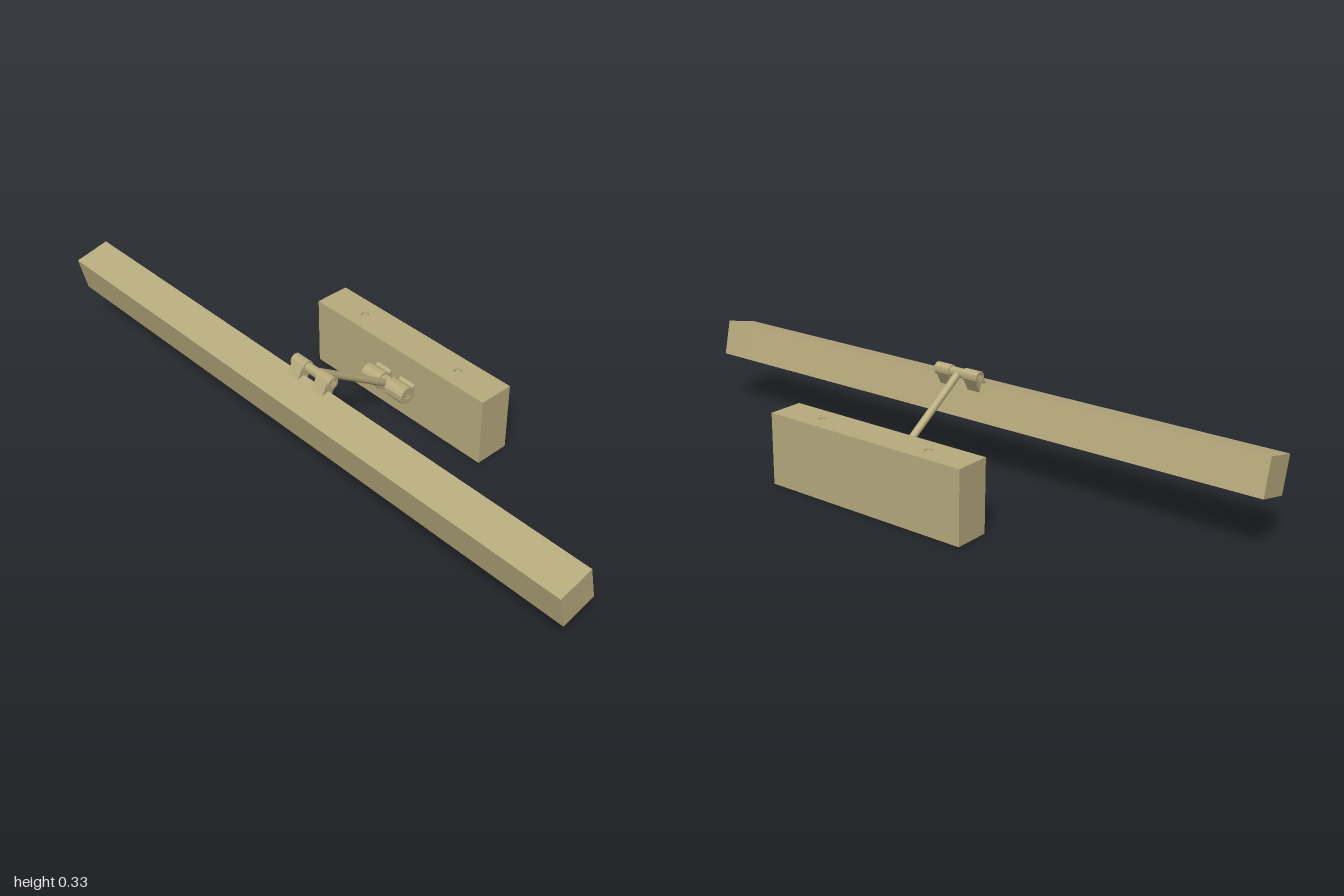
import * as THREE from 'three';
import { toCreasedNormals } from 'three/addons/utils/BufferGeometryUtils.js';

const brass = new THREE.MeshStandardMaterial({ color: 0xb8ab7e });
const grey = new THREE.MeshStandardMaterial({ color: 0xcccccc });
const CX = -0.004; // centre line of bracket and arm
const LOWER = { z: -0.13, y: 0.115 };
const UPPER = { z: 0.157, y: 0.308 };

function add(parent, name, geometry, x = 0, y = 0, z = 0, material = brass) {
  const mesh = new THREE.Mesh(geometry, material);
  mesh.name = name;
  mesh.position.set(x, y, z);
  parent.add(mesh);
  return mesh;
}

// Extrude a side profile, drawn as (-z, y), from x0 to x1
function extrudeX(shape, x0, x1) {
  const g = new THREE.ExtrudeGeometry(shape, { depth: x1 - x0, bevelEnabled: false, curveSegments: 24 });
  g.rotateY(Math.PI / 2).translate(x0, 0, 0);
  return toCreasedNormals(g, 0.6);
}

const polygon = (pts) => new THREE.Shape(pts.map(([u, v]) => new THREE.Vector2(u, v)));

function circle(r, Type = THREE.Shape) {
  const c = new Type();
  c.absarc(0, 0, r, 0, Math.PI * 2, false);
  return c;
}

// Screw head cut by slots into equal sectors (2 = slotted, 4 = cross)
function screwHead(parent, r, sectors, tilt, x0, x1, y, z) {
  const gap = 0.0018;
  for (let i = 0; i < sectors; i++) {
    const step = (Math.PI * 2) / sectors;
    const a0 = tilt + i * step, inset = Math.asin(gap / r);
    const s = new THREE.Shape();
    s.absarc(0, 0, r, a0 + inset, a0 + step - inset, false);
    if (sectors > 2) {
      const mid = a0 + step / 2, d = gap / Math.sin(step / 2);
      s.lineTo(d * Math.cos(mid), d * Math.sin(mid));
    }
    add(parent, 'screwHead', extrudeX(s, x0, x1), 0, y, z);
  }
}

// Pair of hollow hubs on a thinner barrel, with a screw in each end
function buildJoint(name, at, r, barrelR, halfLength, gap, sectors, lug) {
  const joint = new THREE.Group();
  joint.name = name;
  joint.position.set(CX, at.y, at.z);
  const hole = 0.011;
  const ring = circle(r);
  ring.holes.push(circle(hole, THREE.Path));
  for (const side of [-1, 1]) {
    const span = (a, b) => (side > 0 ? [a, b] : [-b, -a]);
    add(joint, 'hub', extrudeX(ring, ...span(gap, halfLength)));
    add(joint, 'lug', extrudeX(lug, ...span(gap + 0.004, halfLength - 0.006)));
    screwHead(joint, 0.0098, sectors, 1.48, ...span(halfLength - 0.012, halfLength - 0.002), 0, 0);
  }
  add(joint, 'barrel', extrudeX(circle(barrelR), -gap, gap));
  add(joint, 'pin', extrudeX(circle(hole), -halfLength + 0.011, halfLength - 0.011));
  return joint;
}

function buildBackBox() {
  const box = new THREE.Group();
  box.name = 'backBox';
  const w = 0.692, h = 0.222, d = 0.113, lid = 0.012;
  box.position.set(CX, 0, -0.2215);
  add(box, 'boxBody', new THREE.BoxGeometry(w, h - lid, d), 0, (h - lid) / 2, 0);
  // Lid with two screw holes
  const top = polygon([[-w / 2, -d / 2], [w / 2, -d / 2], [w / 2, d / 2], [-w / 2, d / 2]]);
  for (const x of [-0.196, 0.196]) {
    const hole = new THREE.Path();
    hole.absarc(x, 0, 0.012, 0, Math.PI * 2, true);
    top.holes.push(hole);
    add(box, 'boxScrew', new THREE.CylinderGeometry(0.009, 0.009, 0.01, 20), x, h - lid + 0.004, 0);
  }
  const lidGeo = new THREE.ExtrudeGeometry(top, { depth: lid, bevelEnabled: false }).rotateX(-Math.PI / 2);
  add(box, 'boxLid', lidGeo, 0, h - lid, 0);
  return box;
}

function buildLampBar() {
  const bar = new THREE.Group();
  bar.name = 'lampBar';
  bar.position.set(0, 0.2175, 0.2125);
  bar.rotation.x = 0.2234;
  const s = 0.0565, n = 0.037, depth = 0.016, open = 0.9;
  // Channel with a slot along its underside, closed by solid ends
  const channel = polygon([[-s, -s], [-n, -s], [-n, -s + depth], [n, -s + depth], [n, -s], [s, -s], [s, s], [-s, s]]);
  add(bar, 'channel', extrudeX(channel, -open, open));
  for (const side of [-1, 1])
    add(bar, 'barEnd', new THREE.BoxGeometry(1 - open, s * 2, s * 2), side * (1 + open) / 2, 0, 0);
  add(bar, 'diffuser', new THREE.BoxGeometry(open * 2, 0.006, n * 2), 0, -s + depth - 0.003, 0, grey);
  return bar;
}

function buildArm() {
  const a = new THREE.Vector3(CX, LOWER.y, LOWER.z);
  const b = new THREE.Vector3(CX, UPPER.y, UPPER.z);
  const dir = b.clone().sub(a);
  const arm = new THREE.Mesh(new THREE.CylinderGeometry(0.0115, 0.0115, dir.length(), 28), brass);
  arm.name = 'arm';
  arm.position.copy(a).add(b).multiplyScalar(0.5);
  arm.quaternion.setFromUnitVectors(new THREE.Vector3(0, 1, 0), dir.normalize());
  return arm;
}

export function createModel() {
  const model = new THREE.Group();
  model.name = 'pictureLight';

  // Flared lug to the back box, starting outside the screw hole
  const lowerLug = polygon([[0.015, -0.018], [0.025, -0.018], [0.037, -0.024], [0.037, 0.021], [0.025, 0.013], [0.015, 0.016]]);
  // Slanted tab down to the lamp bar
  const dir = new THREE.Vector2(-0.486, -0.874), r = 0.0185;
  const tab = (along, across) => [dir.x * along - dir.y * across, dir.y * along + dir.x * across];
  const upperLug = polygon([tab(0.013, -0.0125), tab(0.013, 0.0125), tab(0.02, r), tab(0.045, r), tab(0.045, -r), tab(0.02, -r)]);
  // Straight sides running off the hub
  const upperSides = [-1, 1].map((k) => polygon([tab(0, k * r), tab(0.022, k * r), tab(0.022, k * 0.010), tab(0.008, k * 0.0165)]));

  const lower = buildJoint('lowerJoint', LOWER, 0.028, 0.022, 0.085, 0.016, 2, lowerLug);
  const upper = buildJoint('upperJoint', UPPER, r, 0.0145, 0.079, 0.025, 4, upperLug);
  for (const shape of upperSides)
    for (const x of [-0.073, 0.029]) add(upper, 'lugSide', extrudeX(shape, x, x + 0.044));

  model.add(buildBackBox(), lower, buildArm(), upper, buildLampBar());
  return model;
}
